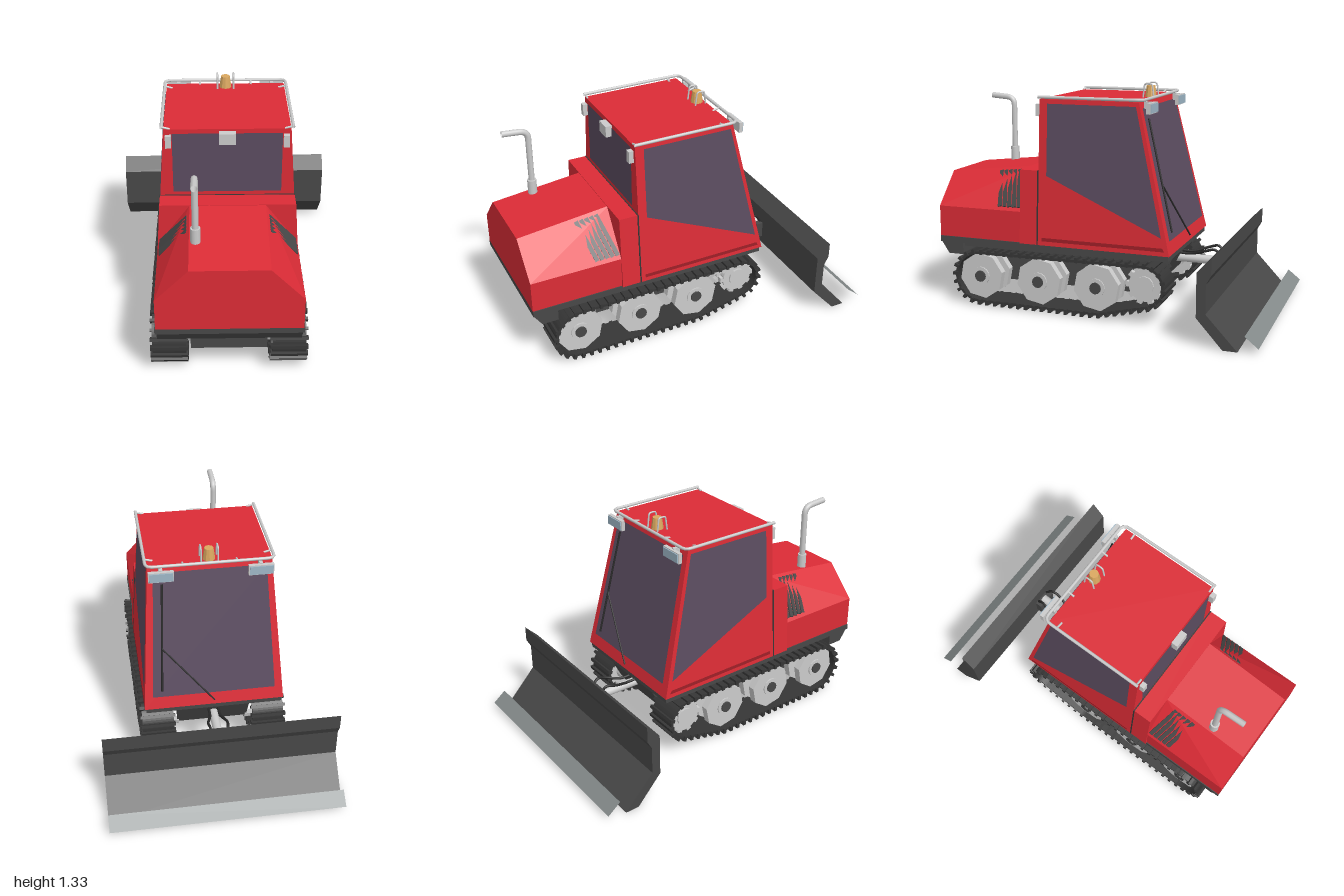
import * as THREE from 'three';
import { ConvexGeometry } from 'three/addons/geometries/ConvexGeometry.js';
import { mergeGeometries } from 'three/addons/utils/BufferGeometryUtils.js';

const V = (x, y, z) => new THREE.Vector3(x, y, z);
const mat = (color, extra = {}) => new THREE.MeshStandardMaterial({ color, ...extra });

export function createModel() {
  const root = new THREE.Group();
  const red = mat(0xdc2c36, { flatShading: true });
  const dark = mat(0x484848, { flatShading: true });
  const rubber = mat(0x363636, { flatShading: true });
  const grey = mat(0xcccccc, { flatShading: true });
  const metal = mat(0xcccccc, { side: THREE.DoubleSide });
  const black = mat(0x2a2a2a);
  const glass = mat(0x5b4c60, { side: THREE.DoubleSide });
  const lens = mat(0x9fb8c8);
  const steel = mat(0x848a8a, { side: THREE.DoubleSide });
  const amber = mat(0xdba860, { flatShading: true });

  const add = (name, geo, material, parent = root) => {
    const m = new THREE.Mesh(geo, material);
    m.name = name;
    parent.add(m);
    return m;
  };
  const box = (name, w, h, d, x, y, z, material, parent) => {
    const m = add(name, new THREE.BoxGeometry(w, h, d), material, parent);
    m.position.set(x, y, z);
    return m;
  };
  // convex solid from [x, y, z] corners mirrored in x
  const solid = (name, pts, material) =>
    add(name, new ConvexGeometry(pts.flatMap(([x, y, z]) => [V(x, y, z), V(-x, y, z)])), material);
  // profile in (z, y) extruded from x0 to x1
  const extrudeX = (shape, x0, x1) =>
    new THREE.ExtrudeGeometry(shape, { depth: x1 - x0, bevelEnabled: false, curveSegments: 14 })
      .rotateY(-Math.PI / 2).translate(x1, 0, 0);
  const poly = pts => new THREE.Shape(pts.map(p => new THREE.Vector2(...p)));
  const quad = (name, pts, material) => {
    const g = new THREE.BufferGeometry().setFromPoints(pts);
    g.setIndex([0, 1, 2, 0, 2, 3]);
    g.computeVertexNormals();
    return add(name, g, material);
  };
  // round bar along a path with rounded corners
  const tube = (name, pts, r, material, bend = 0.03, segs = 48) => {
    const path = new THREE.CurvePath();
    let from = pts[0];
    for (let i = 1; i < pts.length - 1; i++) {
      const a = pts[i].clone().add(pts[i - 1].clone().sub(pts[i]).setLength(bend));
      const b = pts[i].clone().add(pts[i + 1].clone().sub(pts[i]).setLength(bend));
      path.add(new THREE.LineCurve3(from, a));
      path.add(new THREE.QuadraticBezierCurve3(a, pts[i], b));
      from = b;
    }
    path.add(new THREE.LineCurve3(from, pts[pts.length - 1]));
    return add(name, new THREE.TubeGeometry(path, segs, r, 8), material);
  };
  const discX = (name, r, x0, x1, y, z, sides, material, parent) => {
    const m = add(name, new THREE.CylinderGeometry(r, r, x1 - x0, sides).rotateZ(Math.PI / 2), material, parent);
    m.position.set((x0 + x1) / 2, y, z);
    return m;
  };

  // cab side and windscreen slopes
  const sideX = y => 0.405 - (y - 0.41) * 0.072;
  const screenZ = y => -0.44 + (y - 0.4) * 0.237;

  // body
  solid('hood', [[0.39, 0.405, 1], [0.39, 0.59, 1], [0.21, 0.775, 1],
    [0.39, 0.405, 0.46], [0.39, 0.59, 0.46], [0.21, 0.835, 0.46]], red);
  solid('collar', [0.36, 0.47].flatMap(z => [[0.404, 0.405, z], [0.376, 0.837, z]]), red);
  solid('cab', [[0.405, 0.405, 0.355], [0.345, 1.245, 0.355],
    [0.405, 0.405, screenZ(0.405)], [0.345, 1.245, screenZ(1.245)]], red);
  solid('collarSeam', [0.354, 0.362].flatMap(z => [[0.406, 0.405, z], [0.378, 0.838, z]]), rubber);

  // windows
  for (const s of [1, -1]) {
    const p = (z, y) => V(s * (sideX(y) + 0.003), y, z);
    quad('sideWindow', [p(0.305, 1.22), p(-0.225, 1.22), p(-0.39, 0.505), p(0.305, 0.81)], glass);
    quad('sideSill', [p(0.33, 0.45), p(-0.4, 0.45), p(-0.41, 0.43), p(0.33, 0.43)], mat(0x9c1e26, { side: THREE.DoubleSide }));
  }
  quad('rearWindow', [V(-0.3, 0.86, 0.358), V(0.3, 0.86, 0.358), V(0.3, 1.22, 0.358), V(-0.3, 1.22, 0.358)], glass);
  const w = (x, y, out = 0.004) => V(x, y, screenZ(y) - out);
  quad('windscreen', [w(0.355, 0.48), w(-0.355, 0.48), w(-0.315, 1.21), w(0.315, 1.21)], glass);
  tube('wiperArm', [w(0, 0.44, 0.015), w(0.29, 0.78, 0.015)], 0.005, black);
  tube('wiperBlade', [w(0.3, 0.52, 0.012), w(0.27, 1.15, 0.012)], 0.006, black);

  // slatted vents on the hood shoulders
  for (const s of [1, -1]) {
    for (let i = 0; i < 5; i++) {
      const z = 0.515 + i * 0.03;
      const top = 0.835 - (z - 0.46) * 0.111;
      const at = t => V(s * (0.21 + 0.18 * t), top + (0.59 - top) * t, z);
      const a = at(0.07), b = at(0.93);
      const slat = box('ventSlat', a.distanceTo(b), 0.012, 0.024, 0, 0, 0, dark);
      slat.position.copy(a).add(b).multiplyScalar(0.5);
      slat.rotation.set(0.3, 0, Math.atan2(b.y - a.y, b.x - a.x));
    }
  }

  // chassis
  box('chassisPlate', 0.79, 0.035, 1.43, 0, 0.39, 0.285, dark);
  add('frontSkirt', extrudeX(poly([[1, 0.405], [0.855, 0.405], [0.855, 0.3], [0.95, 0.3], [1, 0.375]]), -0.385, 0.385), dark);
  add('belly', extrudeX(poly([[0.86, 0.38], [-0.42, 0.38], [-0.33, 0.2], [-0.15, 0.12], [0.8, 0.12], [0.86, 0.16]]), -0.21, 0.21), dark);
  box('trackGuard', 0.74, 0.03, 1.16, 0, 0.365, 0.27, dark);

  // tracks and wheels
  const trackLoop = (inset, Type) => {
    const p = new Type(), R = 0.155 - inset, r = 0.125 - inset, t = Math.PI * 1.43;
    p.absarc(0.735, 0.18, R, -Math.PI / 2, Math.PI / 2, false);
    p.absarc(-0.29, 0.22, r, Math.PI / 2, t, false);
    p.absarc(0, 0.18, R, t, Math.PI * 1.5, false);
    p.closePath();
    return p;
  };
  const belt = trackLoop(0, THREE.Shape);
  belt.holes.push(trackLoop(0.015, THREE.Path));
  const LUGS = 58;
  const steps = belt.getSpacedPoints(LUGS);
  const lugs = mergeGeometries(steps.slice(0, LUGS).map((p, i) => {
    const d = steps[(i + 1) % LUGS].clone().sub(steps[(i + LUGS - 1) % LUGS]);
    return new THREE.BoxGeometry(0.205, 0.03, 0.018)
      .rotateX(-Math.atan2(d.y, d.x)).translate(0.328, p.y, p.x);
  }));
  for (const s of [1, -1]) {
    const track = new THREE.Group();
    track.name = s > 0 ? 'leftTrack' : 'rightTrack';
    add('belt', extrudeX(belt, 0.235, 0.42), rubber, track);
    add('lugs', lugs, rubber, track);
    for (const z of [0.735, 0.36, 0]) {
      for (const x of [0.245, 0.345]) discX('roadWheel', 0.14, x, x + 0.045, 0.18, z, 8, grey, track).rotation.x = 0.2;
      discX('axle', 0.055, 0.2, 0.398, 0.18, z, 16, grey, track);
      discX('hubCap', 0.034, 0.39, 0.408, 0.18, z, 12, dark, track);
    }
    for (const x of [0.26, 0.345]) {
      discX('sprocket', 0.095, x, x + 0.035, 0.22, -0.29, 24, grey, track);
      for (let i = 0; i < 10; i++) {
        const a = i * Math.PI / 5;
        box('sprocketTooth', 0.03, 0.03, 0.035, x + 0.0175, 0.22 + 0.095 * Math.sin(a), -0.29 + 0.095 * Math.cos(a), grey, track).rotation.x = -a;
      }
    }
    discX('sprocketHub', 0.055, 0.2, 0.39, 0.22, -0.29, 12, grey, track);
    // mirrored by the opposite scale
    track.scale.x = s;
    root.add(track);
  }

  // blade with its separate cutting edge
  add('blade', extrudeX(poly([[-0.743, 0.49], [-0.743, 0.4], [-0.716, 0.35], [-0.716, 0.19],
    [-0.89, 0.005], [-0.81, 0.005], [-0.665, 0.165], [-0.665, 0.41]]), -0.665, 0.665), dark);
  quad('cuttingEdge', [V(0.665, 0.095, -0.925), V(-0.665, 0.095, -0.925), V(-0.665, 0.035, -1), V(0.665, 0.035, -1)], steel);
  box('bladeMount', 0.12, 0.1, 0.045, 0, 0.26, -0.645, dark);
  const arm = add('bladeArm', new THREE.CylinderGeometry(0.026, 0.026, 0.3, 16).rotateX(Math.PI / 2), metal);
  arm.position.set(0, 0.3, -0.5);
  for (const s of [1, -1]) {
    const hose = new THREE.CatmullRomCurve3([V(s * 0.03, 0.34, -0.34), V(s * 0.03, 0.335, -0.46),
      V(s * 0.055, 0.365, -0.56), V(s * 0.05, 0.375, -0.61), V(s * 0.04, 0.32, -0.655)]);
    add('hose', new THREE.TubeGeometry(hose, 24, 0.008, 8), black);
  }

  // exhaust
  const sleeve = add('exhaustSleeve', new THREE.CylinderGeometry(0.027, 0.027, 0.09, 12), metal);
  sleeve.position.set(-0.175, 0.84, 0.77);
  tube('exhaustPipe', [V(-0.175, 0.86, 0.77), V(-0.175, 1.195, 0.77), V(-0.175, 1.207, 0.92)], 0.018, metal, 0.05);

  // roof rail and brackets
  tube('roofRail', [V(-0.355, 1.257, 0.36), V(-0.355, 1.257, -0.265), V(0.355, 1.257, -0.265), V(0.355, 1.257, 0.36)], 0.009, metal, 0.04, 90);
  for (const s of [1, -1]) {
    for (const z of [0.35, -0.18]) tube('railBracket', [V(s * 0.355, 1.257, z), V(s * 0.31, 1.245, z)], 0.006, metal, 0.01, 4);
    tube('railBracket', [V(s * 0.15, 1.257, -0.265), V(s * 0.15, 1.245, -0.22)], 0.006, metal, 0.01, 4);
    // work lamps
    box('backLamp', 0.14, 0.06, 0.022, s * 0.275, 1.21, -0.293, grey);
    box('backLampLens', 0.13, 0.05, 0.006, s * 0.275, 1.21, -0.307, lens);
    box('lampBracket', 0.02, 0.04, 0.04, s * 0.275, 1.225, -0.27, grey);
    box('frontLamp', 0.032, 0.07, 0.028, s * 0.32, 1.18, 0.372, grey);
    // beacon guard
    tube('beaconGuard', [V(s * 0.047, 1.245, -0.23), V(s * 0.047, 1.325, -0.22), V(s * 0.047, 1.325, -0.175), V(s * 0.047, 1.245, -0.165)], 0.005, metal, 0.015);
  }
  box('rearBox', 0.09, 0.065, 0.04, 0, 1.2, 0.373, grey);

  // beacon
  const beacon = add('beacon', new THREE.CylinderGeometry(0.026, 0.036, 0.068, 10), amber);
  beacon.position.set(0, 1.278, -0.198);
  return root;
}
